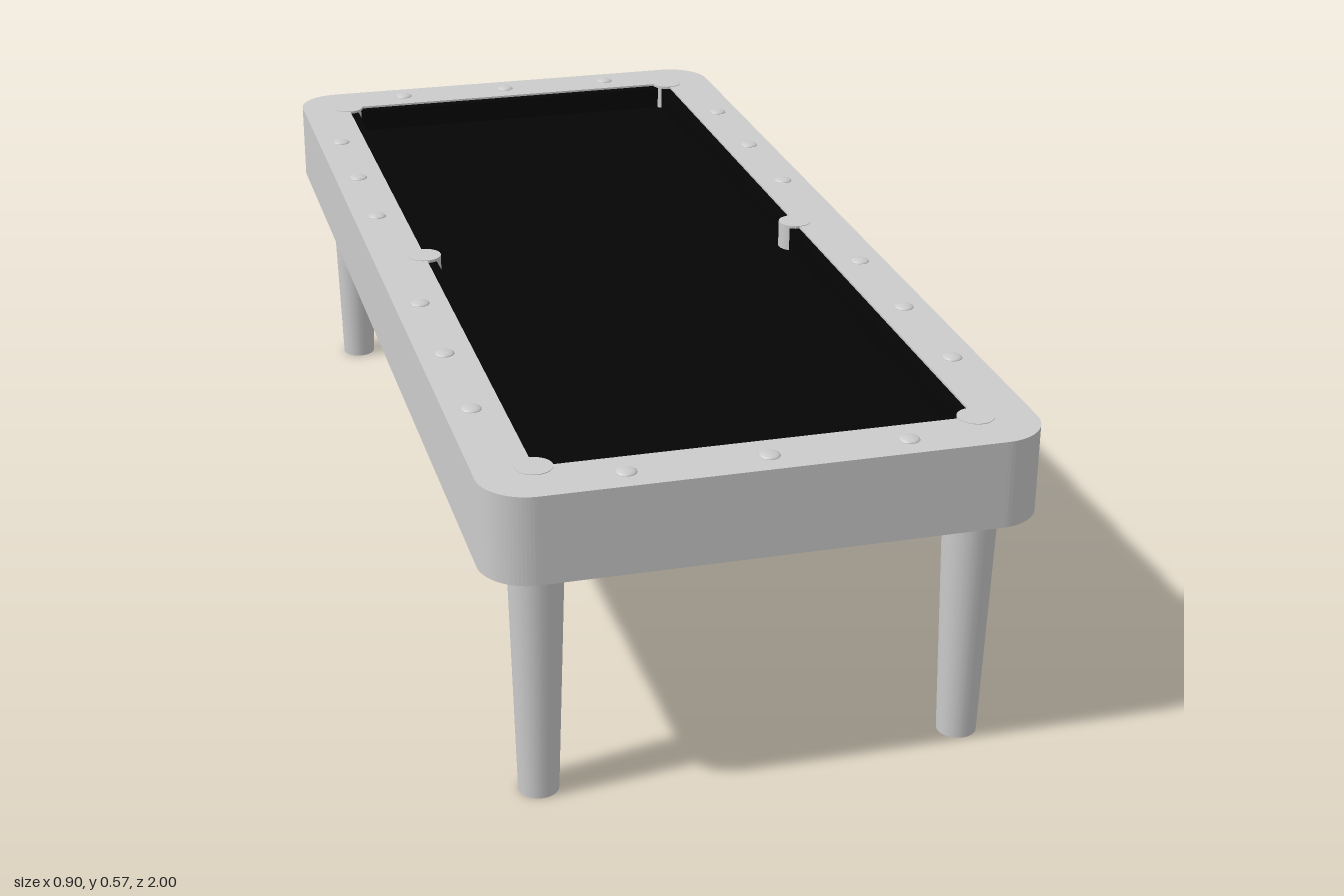
import * as THREE from 'three';

const grey = new THREE.MeshStandardMaterial({ color: 0xcccccc });
const black = new THREE.MeshStandardMaterial({ color: 0x050505 });

function roundedRect(path, w, d, r) {
  path.moveTo(w - r, -d);
  path.absarc(w - r, -d + r, r, -Math.PI / 2, 0);
  path.absarc(w - r, d - r, r, 0, Math.PI / 2);
  path.absarc(-w + r, d - r, r, Math.PI / 2, Math.PI);
  path.absarc(-w + r, -d + r, r, Math.PI, Math.PI * 1.5);
  path.closePath();
  return path;
}

// Horizontal slab extruded upwards from y0 to y1
function slab(shape, y0, y1) {
  return new THREE.ExtrudeGeometry(shape, { depth: y1 - y0, bevelEnabled: false, curveSegments: 10 })
    .rotateX(-Math.PI / 2).translate(0, y0, 0);
}

export function createModel() {
  const table = new THREE.Group();
  table.name = 'poolTable';

  const add = (name, geometry, material, x = 0, y = 0, z = 0) => {
    const mesh = new THREE.Mesh(geometry, material);
    mesh.name = name;
    mesh.position.set(x, y, z);
    table.add(mesh);
    return mesh;
  };

  const top = 0.568, clothY = 0.52, bottom = 0.42;
  const px = 0.355, pz = 0.9;

  // Cabinet base and the rail frame standing on it
  add('cabinet', slab(roundedRect(new THREE.Shape(), 0.45, 1, 0.08), bottom, clothY - 0.005), grey);
  const rail = roundedRect(new THREE.Shape(), 0.45, 1, 0.08);
  rail.holes.push(new THREE.Path([
    new THREE.Vector2(-px, -pz), new THREE.Vector2(-px, pz),
    new THREE.Vector2(px, pz), new THREE.Vector2(px, -pz),
  ]));
  add('railFrame', slab(rail, clothY - 0.005, top), grey);

  // Playing surface
  add('cloth', new THREE.BoxGeometry(2 * px, 0.01, 2 * pz), black, 0, clothY - 0.005, 0);

  // Cushions between the pockets
  const cushionH = top - clothY - 0.004, cushionY = clothY + cushionH / 2;
  const sideCushion = new THREE.BoxGeometry(0.018, cushionH, pz - 0.05);
  const endCushion = new THREE.BoxGeometry(2 * px - 0.05, cushionH, 0.018);
  for (const s of [-1, 1]) {
    for (const e of [-1, 1]) add('sideCushion', sideCushion, black, s * (px - 0.009), cushionY, e * pz / 2);
    add('endCushion', endCushion, black, 0, cushionY, s * (pz - 0.009));
  }

  // Pockets: corners and middle of the long sides
  const pocket = new THREE.CylinderGeometry(0.03, 0.03, top + 0.001 - clothY, 24);
  for (const x of [-px, px]) {
    for (const z of [-pz, 0, pz]) add('pocket', pocket, grey, x, (top + 0.001 + clothY) / 2, z);
  }

  // Sight markers set into the rail
  const sight = new THREE.SphereGeometry(0.017, 16, 6, 0, Math.PI * 2, 0, Math.PI / 2).scale(1, 0.3, 1);
  for (const s of [-1, 1]) {
    for (const z of [0.225, 0.45, 0.675]) {
      for (const e of [-1, 1]) add('sight', sight, grey, s * 0.405, top, e * z);
    }
    for (const x of [-0.225, 0, 0.225]) add('sight', sight, grey, x, top, s * 0.952);
  }

  // Tapered legs
  const leg = new THREE.CylinderGeometry(0.045, 0.033, bottom, 24);
  for (const x of [-px, px]) {
    for (const z of [-0.903, 0.903]) add('leg', leg, grey, x, bottom / 2, z);
  }

  return table;
}
